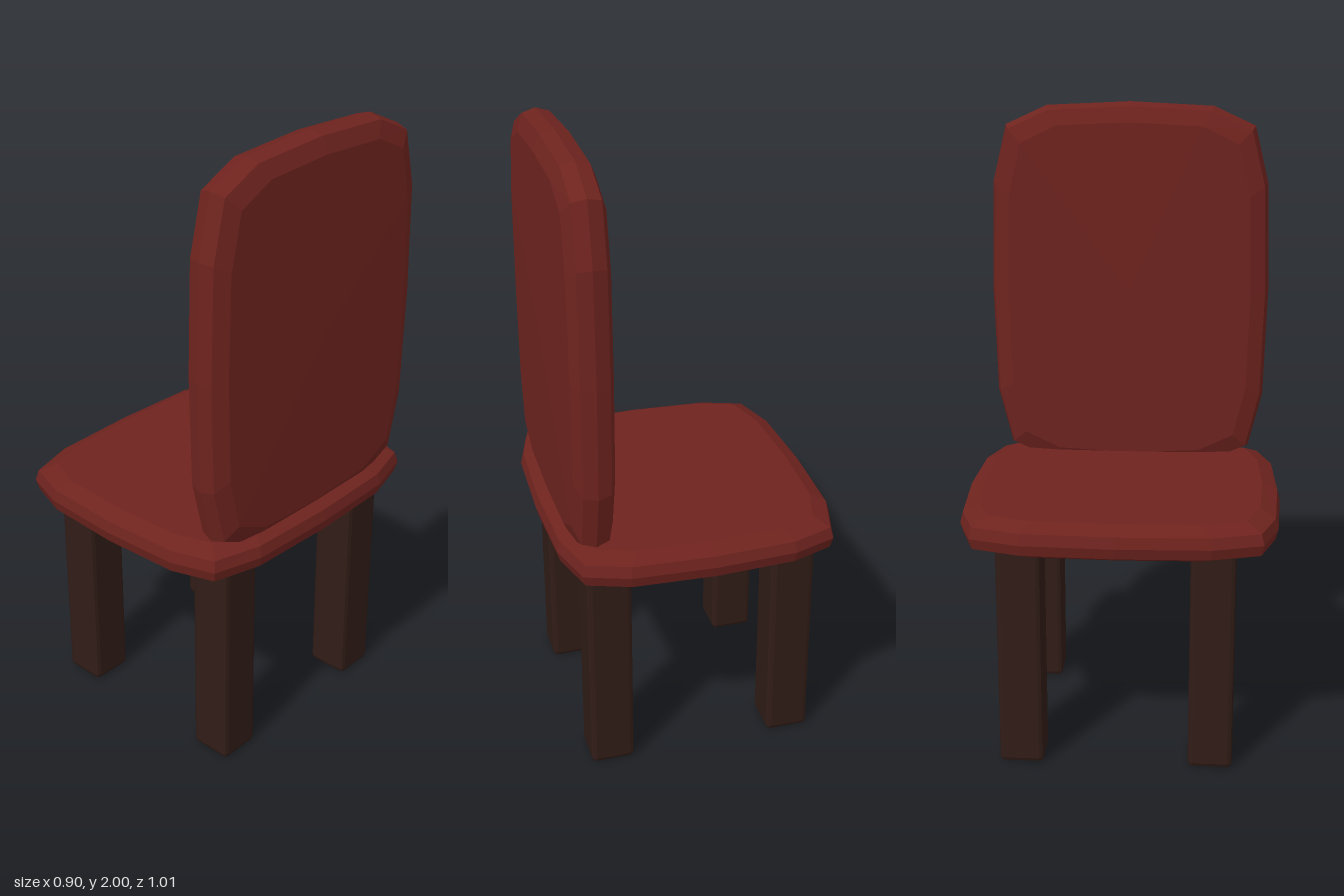
import * as THREE from 'three';
import { RoundedBoxGeometry } from 'three/addons/geometries/RoundedBoxGeometry.js';

const red = new THREE.MeshStandardMaterial({ color: 0x6e231e, flatShading: true });
const brown = new THREE.MeshStandardMaterial({ color: 0x301c16, flatShading: true });

// Full 16-point outline, counter-clockwise, from one quarter running from +u to +v
function mirrorOutline(quarter) {
  const half = [...quarter, ...quarter.slice(0, -1).reverse().map(([u, v]) => [-u, v])];
  return [...half, ...half.slice(1, -1).reverse().map(([u, v]) => [u, -v])];
}

// Soft-edged slab: rings of the outline stacked along z, each [z, inset], closed by domed caps
function slab(quarter, rings, pole) {
  const outline = mirrorOutline(quarter);
  const n = outline.length;
  const a = quarter[0][0], b = quarter[quarter.length - 1][1];
  const pos = [], index = [];
  for (const [z, inset] of rings) {
    for (const [u, v] of outline) pos.push(u * (1 - inset / a), v * (1 - inset / b), z);
  }
  const bottom = rings.length * n, top = bottom + 1, last = (rings.length - 1) * n;
  pos.push(0, 0, -pole, 0, 0, pole);
  for (let i = 0; i < n; i++) {
    const j = (i + 1) % n;
    for (let k = 0; k < last; k += n) {
      index.push(k + i, k + j, k + n + j, k + i, k + n + j, k + n + i);
    }
    index.push(bottom, j, i, top, last + i, last + j);
  }
  const g = new THREE.BufferGeometry();
  g.setAttribute('position', new THREE.Float32BufferAttribute(pos, 3));
  g.setIndex(index);
  g.computeVertexNormals();
  return g;
}

export function createModel() {
  const chair = new THREE.Group();
  chair.name = 'chair';
  const add = (name, geometry, material, x, y, z) => {
    const mesh = new THREE.Mesh(geometry, material);
    mesh.name = name;
    mesh.position.set(x, y, z);
    chair.add(mesh);
  };

  // Seat
  const seat = slab(
    [[0.45, 0], [0.44, 0.29], [0.395, 0.445], [0.26, 0.492], [0, 0.505]],
    [[-0.059, 0.058], [-0.035, 0.009], [0, 0], [0.035, 0.009], [0.059, 0.058]], 0.063);
  seat.rotateX(-Math.PI / 2);
  add('seat', seat, red, 0, 0.773, 0);

  // Backrest, standing on the +x side of the seat
  const back = slab(
    [[0.46, 0], [0.45, 0.355], [0.405, 0.54], [0.27, 0.602], [0, 0.615]],
    [[-0.064, 0.06], [-0.043, 0.012], [0, 0], [0.043, 0.012], [0.064, 0.06]], 0.07);
  back.rotateY(Math.PI / 2);
  add('backrest', back, red, 0.344, 1.385, 0);

  // Four square legs with chamfered edges
  const leg = new RoundedBoxGeometry(0.14, 0.74, 0.14, 1, 0.015);
  for (const x of [-0.298, 0.298]) {
    for (const z of [-0.302, 0.295]) {
      add((x < 0 ? 'front' : 'back') + (z < 0 ? 'Right' : 'Left') + 'Leg', leg, brown, x, 0.37, z);
    }
  }
  return chair;
}
